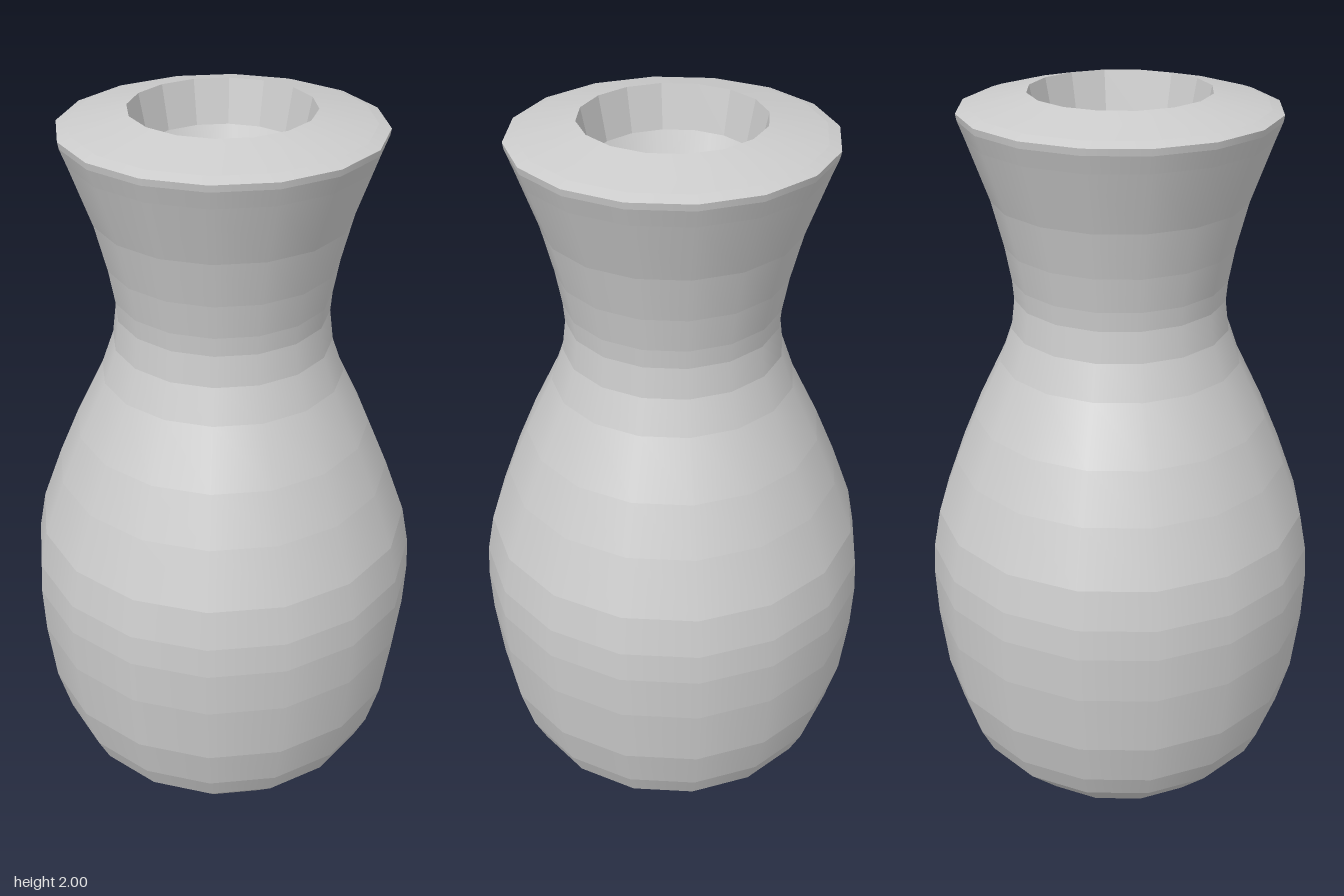
import * as THREE from 'three';
import { mergeGeometries } from 'three/addons/utils/BufferGeometryUtils.js';

const SIDES = 16;

// Revolve each profile step on its own: soft around the axis, crisp between rings
function bandedLathe(profile) {
  const bands = [];
  for (let i = 0; i < profile.length - 1; i++) {
    const pair = [profile[i], profile[i + 1]].map(([r, y]) => new THREE.Vector2(r, y));
    bands.push(new THREE.LatheGeometry(pair, SIDES));
  }
  return mergeGeometries(bands);
}

export function createModel() {
  const vase = new THREE.Group();
  vase.name = 'vase';

  const add = (name, profile, flatShading = false) => {
    const material = new THREE.MeshStandardMaterial({
      color: 0xcccccc, side: THREE.DoubleSide, flatShading,
    });
    const mesh = new THREE.Mesh(bandedLathe(profile), material);
    mesh.name = name;
    vase.add(mesh);
  };

  // Underside with a small drain hole in the centre
  add('base', [[0.026, 0], [0.14, 0.005], [0.245, 0.028], [0.325, 0.07]]);

  // Rounded belly
  add('belly', [
    [0.325, 0.07], [0.43, 0.18], [0.465, 0.255], [0.5, 0.385], [0.52, 0.56],
    [0.525, 0.69], [0.52, 0.775], [0.5, 0.88], [0.445, 1.03],
  ]);

  // Shoulder narrowing into the neck, then flaring to the mouth
  add('neck', [
    [0.445, 1.03], [0.39, 1.16], [0.317, 1.31], [0.285, 1.4], [0.275, 1.48],
    [0.279, 1.53], [0.295, 1.62], [0.325, 1.74], [0.38, 1.895], [0.397, 1.94],
  ]);

  // Broad sloping rim
  add('rim', [[0.397, 1.94], [0.4, 1.957], [0.37, 1.967], [0.228, 2]]);

  // Short inner lip, open below
  add('innerLip', [[0.228, 2], [0.205, 1.89]], true);

  return vase;
}
